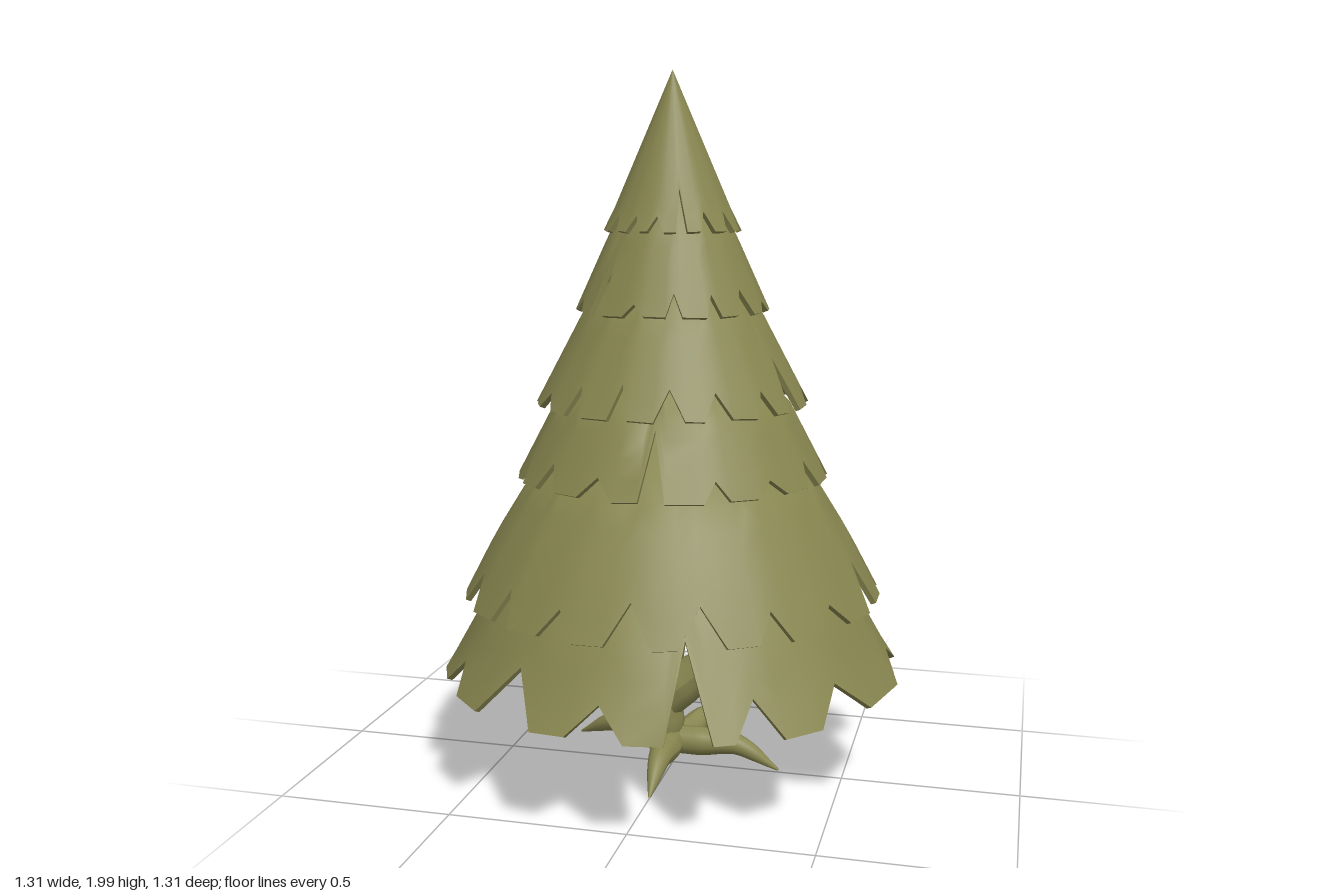
import * as THREE from 'three';

const olive = new THREE.MeshStandardMaterial({ color: 0x87854f });
olive.name = 'olive';

function seeded(seed) {
  let s = seed;
  return () => (s = (s * 16807) % 2147483647) / 2147483647;
}

// Radius on a profile of [radius, y] points listed from the hem upwards
function radiusAt(profile, y) {
  for (let i = 1; i < profile.length; i++) {
    const [r0, y0] = profile[i - 1], [r1, y1] = profile[i];
    if (y <= y1) return r0 + (r1 - r0) * (y - y0) / (y1 - y0);
  }
  return profile[profile.length - 1][0];
}

// Start and end angles, in degrees, of a ring of slightly uneven teeth
function unevenTips(count, phase, rand) {
  const pitch = 360 / count;
  return Array.from({ length: count }, (_, i) => [
    phase + pitch * (i + 0.14 + rand() * 0.2), phase + pitch * (i + 0.64 + rand() * 0.2)]);
}

// Hem outline: flat-tipped teeth with notches of uneven height, plus a few deep slits
function makeHem({ profile, tips, teeth, lift, slits }, rand) {
  const base = profile[0][1], hem = [];
  const pairs = tips || unevenTips(teeth, slits[0][0], rand);
  pairs.forEach(([start, end], i) => {
    const next = i + 1 < pairs.length ? pairs[i + 1][0] : pairs[0][0] + 360;
    const notch = { a: (end + next) / 2, y: base + lift * (0.55 + rand() * 0.7) };
    for (const [angle, top] of slits) {
      const d = (notch.a - angle + 540) % 360 - 180;
      if (Math.abs(d) <= 180 / pairs.length) notch.y = top;
    }
    hem.push({ a: start, y: base + rand() * lift * 0.08 });
    hem.push({ a: end, y: base + rand() * lift * 0.08 }, notch);
  });
  return hem.map(({ a, y }) => ({ a: THREE.MathUtils.degToRad(a), y }));
}

// Conical shell: outer face, inner face closed by a shallow ceiling, and a thin hem wall
function skirtGeometry(tier, rand) {
  const { profile } = tier, hem = makeHem(tier, rand);
  const n = hem.length, thick = 0.014;
  const peak = profile[profile.length - 1][1], ceiling = profile[0][1] + 0.18;
  const pos = [], index = [];
  const point = (h, y, inset) => {
    const r = Math.max(radiusAt(profile, y) - inset, 0);
    pos.push(r * Math.sin(h.a), y - inset * 0.4, r * Math.cos(h.a));
  };
  const stitch = (start, rows, inward) => {
    for (let k = 0; k < rows; k++)
      for (let j = 0; j < n; j++) {
        const a = start + k * n + j, b = start + k * n + (j + 1) % n;
        const c = b + n, d = a + n;
        if (inward) index.push(a, c, b, a, d, c);
        else index.push(a, b, c, a, c, d);
      }
  };
  const rows = 10;
  for (let k = 0; k <= rows; k++)
    for (const h of hem) point(h, h.y + (peak - h.y) * k / rows, 0);
  stitch(0, rows, false);

  const inner = pos.length / 3;
  for (const h of hem) point(h, h.y, thick);
  for (const h of hem) point(h, Math.max(ceiling, h.y + 0.01), thick);
  for (let j = 0; j < n; j++) pos.push(0, ceiling + 0.05, 0);
  stitch(inner, 2, true);

  for (let j = 0; j < n; j++) {
    const h = hem[j], g = hem[(j + 1) % n], s = pos.length / 3;
    point(h, h.y, 0); point(g, g.y, 0);
    point(h, h.y, thick); point(g, g.y, thick);
    index.push(s, s + 2, s + 1, s + 1, s + 2, s + 3);
  }
  const geo = new THREE.BufferGeometry();
  geo.setAttribute('position', new THREE.Float32BufferAttribute(pos, 3));
  geo.setIndex(index);
  geo.computeVertexNormals();
  return geo;
}

// Smooth tube whose radius follows a list of values along the path
function limb(name, points, radii) {
  const curve = new THREE.CatmullRomCurve3(points.map(p => new THREE.Vector3(...p)));
  const steps = 24, sides = 14;
  const geo = new THREE.TubeGeometry(curve, steps, 1, sides);
  const p = geo.attributes.position, v = new THREE.Vector3();
  for (let i = 0; i <= steps; i++) {
    const c = curve.getPointAt(i / steps);
    const f = i / steps * (radii.length - 1), k = Math.min(Math.floor(f), radii.length - 2);
    const r = THREE.MathUtils.lerp(radii[k], radii[k + 1], f - k);
    for (let j = 0; j <= sides; j++) {
      const id = i * (sides + 1) + j;
      v.fromBufferAttribute(p, id).sub(c).multiplyScalar(r).add(c);
      p.setXYZ(id, v.x, Math.max(v.y, 0), v.z);
    }
  }
  geo.computeVertexNormals();
  const mesh = new THREE.Mesh(geo, olive);
  mesh.name = name;
  return mesh;
}

export function createModel() {
  const tree = new THREE.Group();
  tree.name = 'pineTree';

  // Foliage tiers from top to bottom; slits are [degrees from the front, top height]
  const tiers = [
    { profile: [[0.192, 1.565], [0.168, 1.61], [0, 2]], teeth: 16, lift: 0.045, slits: [[23, 1.68]] },
    { profile: [[0.272, 1.345], [0.17, 1.57], [0, 1.8]], teeth: 15, lift: 0.055, slits: [[-34, 1.53]] },
    { profile: [[0.385, 1.085], [0.24, 1.36], [0, 1.6]], teeth: 17, lift: 0.075, slits: [[76, 1.23], [212, 1.2]] },
    { profile: [[0.44, 0.88], [0.33, 1.09], [0, 1.4]], teeth: 16, lift: 0.08, slits: [[8, 1.06], [240, 1.0]] },
    { profile: [[0.595, 0.54], [0.505, 0.71], [0.4, 0.88], [0, 1.2]], teeth: 18, lift: 0.1,
      slits: [[102, 0.75], [83, 0.67], [223, 0.7]] },
    { profile: [[0.66, 0.31], [0.59, 0.42], [0.525, 0.55], [0.35, 0.78], [0, 1]], lift: 0.125,
      tips: [[3, 12], [23, 28], [40, 50], [68, 87], [108, 119], [133, 141], [159, 172], [180, 191],
        [198, 213], [224, 231], [241, 248], [267, 275], [288, 298], [310, 321], [340, 349]],
      slits: [[17, 0.55]] },
  ];
  const foliage = new THREE.Group();
  foliage.name = 'foliage';
  tiers.forEach((tier, i) => {
    const mesh = new THREE.Mesh(skirtGeometry(tier, seeded(137 + i * 977)), olive);
    mesh.name = 'foliageTier' + (i + 1);
    foliage.add(mesh);
  });
  tree.add(foliage);

  // Curved trunk with two side branches under the foliage
  tree.add(limb('trunk',
    [[0, 0.05, 0], [-0.035, 0.11, 0], [-0.065, 0.22, 0], [-0.04, 0.36, 0], [0, 0.52, 0], [0, 0.56, 0]],
    [0.04, 0.075, 0.088, 0.085, 0.08, 0.075, 0.07, 0.065, 0.06]));
  tree.add(limb('leftBranch',
    [[-0.04, 0.2, 0], [0.06, 0.28, 0], [0.15, 0.36, 0.01], [0.24, 0.45, 0.03]],
    [0.07, 0.065, 0.05, 0.035, 0.005]));
  tree.add(limb('rightBranch',
    [[-0.04, 0.28, 0], [-0.12, 0.36, -0.02], [-0.2, 0.39, -0.05], [-0.29, 0.45, -0.08]],
    [0.06, 0.05, 0.04, 0.03, 0.005]));

  // Arched roots tapering to the ground
  const tips = [[0.315, 0.01, -0.01], [-0.325, 0.02, -0.14], [0, 0.01, 0.27], [0.1, 0.06, -0.25]];
  tips.forEach(([x, y, z], i) => tree.add(limb('root' + (i + 1),
    [[0, 0.08, 0], [x * 0.3, 0.08, z * 0.3], [x * 0.6, 0.075 + y * 0.4, z * 0.6], [x, y, z]],
    [0.04, 0.042, 0.034, 0.022, 0.003])));
  return tree;
}
